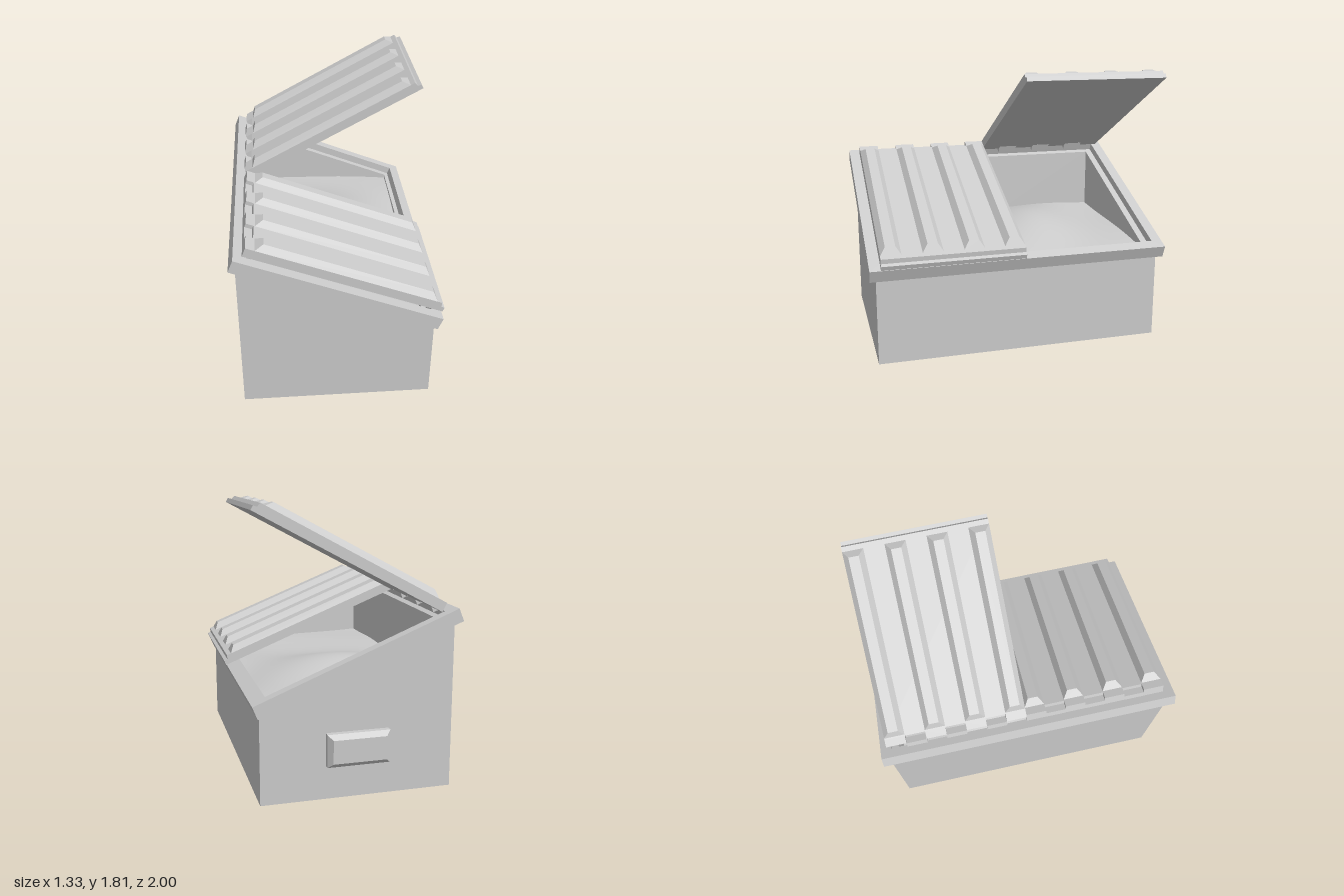
import * as THREE from 'three';

const grey = new THREE.MeshStandardMaterial({ color: 0xcccccc, flatShading: true });
const smooth = new THREE.MeshStandardMaterial({ color: 0xcccccc, side: THREE.DoubleSide });

function add(parent, name, geometry, material = grey) {
  const mesh = new THREE.Mesh(geometry, material);
  mesh.name = name;
  parent.add(mesh);
  return mesh;
}

// Side profile (x, y) swept from z0 to z1
function prism(points, z0, z1) {
  const shape = new THREE.Shape(points.map(([x, y]) => new THREE.Vector2(x, y)));
  const g = new THREE.ExtrudeGeometry(shape, { depth: z1 - z0, bevelEnabled: false });
  return g.translate(0, 0, z0);
}

// Block standing on y = 0 whose top is inset on all sides
function frustum(w, h, d, insetX, insetZ) {
  const g = new THREE.BoxGeometry(w, h, d).translate(0, h / 2, 0);
  const p = g.attributes.position;
  for (let i = 0; i < p.count; i++) {
    if (p.getY(i) > h / 2) {
      p.setX(i, p.getX(i) - Math.sign(p.getX(i)) * insetX);
      p.setZ(i, p.getZ(i) - Math.sign(p.getZ(i)) * insetZ);
    }
  }
  g.computeVertexNormals();
  return g;
}

const LID_WIDTH = 0.93;
const SLOT = LID_WIDTH / 7; // ribs and hinge teeth share this pitch

// Ribbed lid: local x runs from hinge to free edge, y is its thickness
function createLid(name) {
  const lid = new THREE.Group();
  lid.name = name;
  const profile = [[0.05, 0], [1.334, 0], [1.334, 0.03], [1.31, 0.033], [1.302, 0.062], [0.05, 0.062]];
  add(lid, 'lidPanel', prism(profile, 0, LID_WIDTH));
  for (let i = 0; i < 7; i += 2) {
    const z = (i + 0.5) * SLOT;
    add(lid, 'lidRib', frustum(1.211, 0.04, SLOT, 0.04, 0.034)).position.set(0.665, 0.062, z);
    add(lid, 'hingeTooth', new THREE.BoxGeometry(0.05, 0.062, SLOT)).position.set(0.025, 0.031, z);
  }
  return lid;
}

export function createModel() {
  const model = new THREE.Group();
  model.name = 'slopedStorageBin';

  // Hollow body: two end walls, back, front and floor
  const body = new THREE.Group();
  body.name = 'body';
  model.add(body);
  const topY = (x) => 1.1 - (x + 0.63) * 0.405;
  const wall = (x0, x1) => [[x0, 0], [x1, 0], [x1, topY(x1)], [x0, topY(x0)]];
  add(body, 'endWallRear', prism(wall(-0.63, 0.6), -0.93, -0.86));
  add(body, 'endWallFront', prism(wall(-0.63, 0.6), 0.89, 0.96));
  add(body, 'highWall', prism(wall(-0.63, -0.56), -0.86, 0.89));
  add(body, 'lowWall', prism(wall(0.53, 0.6), -0.86, 0.89));
  add(body, 'floor', new THREE.BoxGeometry(1.09, 0.06, 1.75)).position.set(-0.015, 0.03, 0.015);

  // Sloping rim frame
  const L = 1.386, w = 0.07;
  const rect = (x0, x1, y0, y1) => [[x0, y0], [x1, y0], [x1, y1], [x0, y1]].map((p) => new THREE.Vector2(...p));
  const frame = new THREE.Shape(rect(0, L, -1, 0.975));
  frame.holes.push(new THREE.Path(rect(w, L - w, -1 + w, 0.975 - w)));
  const rimGeometry = new THREE.ExtrudeGeometry(frame, { depth: 0.086, bevelEnabled: false });
  const rim = add(model, 'rim', rimGeometry.rotateX(-Math.PI / 2));
  rim.position.set(-0.67, 1.08, 0);
  rim.rotation.z = -Math.atan(0.405);

  // Lids: one closed, one raised
  const closedLid = createLid('closedLid');
  closedLid.position.set(-0.585, 1.14, 0);
  closedLid.rotation.z = -0.381;
  const openLid = createLid('openLid');
  openLid.position.set(-0.545, 1.135, -LID_WIDTH);
  openLid.rotation.z = 0.495;
  model.add(closedLid, openLid);

  // Fixed hinge knuckles on the rim, between the lid teeth
  const knuckles = new THREE.Group();
  knuckles.name = 'hingeKnuckles';
  knuckles.position.copy(closedLid.position);
  knuckles.rotation.copy(closedLid.rotation);
  model.add(knuckles);
  for (const side of [-1, 1]) {
    for (let i = 1; i < 7; i += 2) {
      const k = add(knuckles, 'hingeKnuckle', new THREE.BoxGeometry(0.05, 0.05, SLOT));
      k.position.set(0.025, 0.01, side * (i + 0.5) * SLOT);
    }
  }

  // Chamfered grab handle on the end wall
  const handle = new THREE.Group();
  handle.name = 'handle';
  handle.position.set(-0.01, 0.32, -0.93);
  handle.rotation.x = -Math.PI / 2;
  add(handle, 'handleBase', new THREE.BoxGeometry(0.4, 0.036, 0.21)).position.y = 0.018;
  add(handle, 'handleGrip', frustum(0.4, 0.03, 0.21, 0.03, 0.03)).position.y = 0.036;
  model.add(handle);

  // Loose heap filling the bin
  const heap = new THREE.PlaneGeometry(1.09, 1.75, 20, 32).rotateX(-Math.PI / 2).translate(-0.015, 0, 0.015);
  const p = heap.attributes.position;
  for (let i = 0; i < p.count; i++) {
    const t = (0.53 - p.getX(i)) / 1.09, z = p.getZ(i);
    const mound = 0.09 * Math.exp(-(((z + 0.25) / 0.34) ** 2)) * Math.sin(Math.PI * t);
    p.setY(i, 0.6 + 0.06 * t + mound + 0.008 * Math.sin(7 * z + 5 * t));
  }
  heap.computeVertexNormals();
  add(model, 'heap', heap, smooth);

  return model;
}
